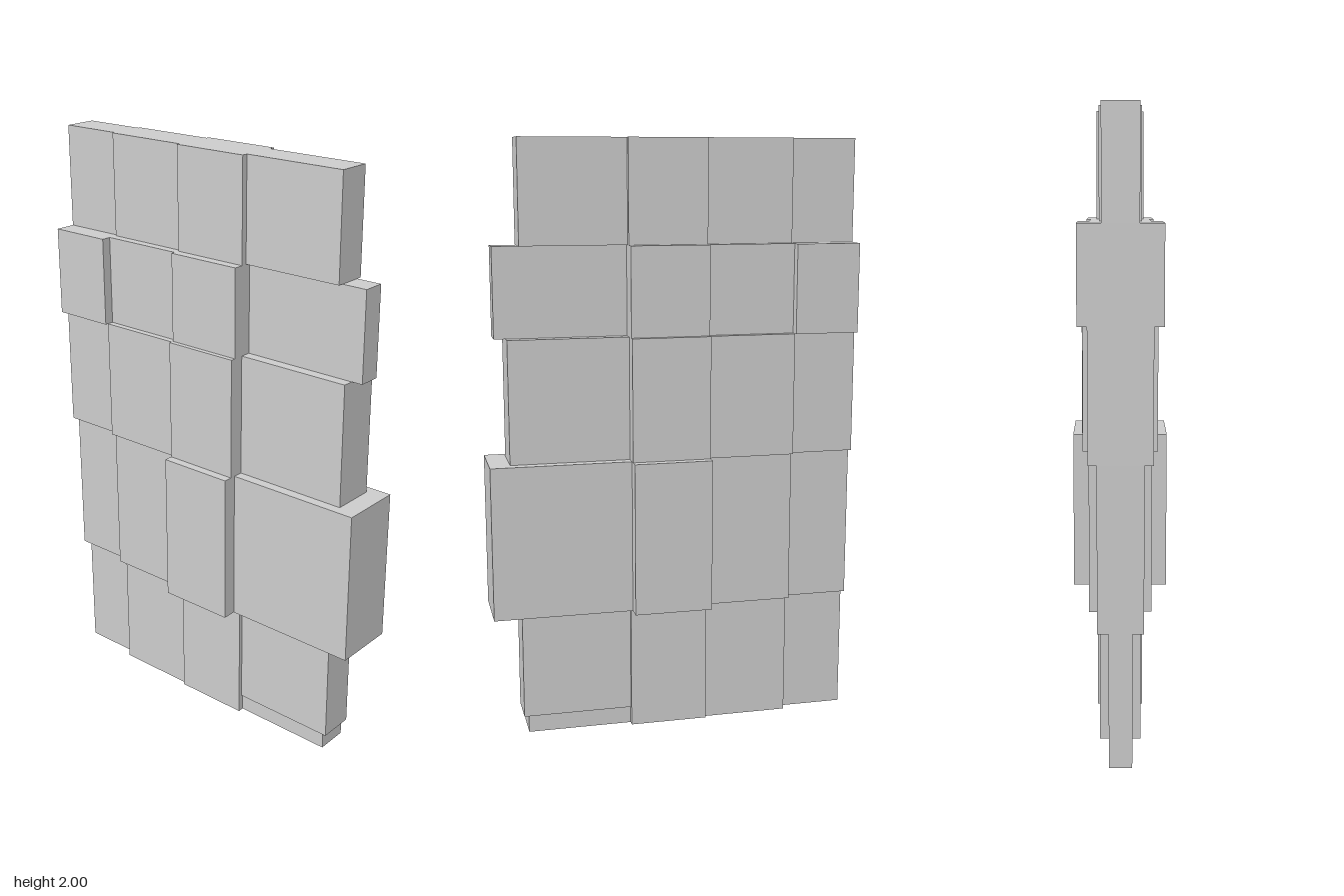
import * as THREE from 'three';

// Shared z boundaries between the four columns of blocks (front to back)
const SPLITS = [0.152, -0.113, -0.405, -0.622];

// Each course: bottom, top, front z, and half thickness of its blocks front to back
const COURSES = [
  { name: 'bottomCourse', y0: 0, y1: 0.428, front: 0.524, half: [0.062, 0.076, 0.065, 0.036] },
  { name: 'lowerCourse', y0: 0.428, y1: 0.948, front: 0.622, half: [0.108, 0.156, 0.099, 0.071] },
  { name: 'middleCourse', y0: 0.948, y1: 1.36, front: 0.553, half: [0.074, 0.126, 0.117, 0.098] },
  { name: 'upperCourse', y0: 1.36, y1: 1.658, front: 0.592, half: [0.038, 0.109, 0.095, 0.128] },
  { name: 'topCourse', y0: 1.658, y1: 2, front: 0.506, half: [0.056, 0.076, 0.065, 0.056] },
];

export function createModel() {
  const model = new THREE.Group();
  model.name = 'steppedBlockWall';
  const material = new THREE.MeshStandardMaterial({ color: 0xcccccc, flatShading: true });

  function addBlock(parent, name, half, y0, y1, zFront, zBack) {
    const block = new THREE.Mesh(new THREE.BoxGeometry(half * 2, y1 - y0, zFront - zBack), material);
    block.position.set(0, (y0 + y1) / 2, (zFront + zBack) / 2);
    block.name = name;
    parent.add(block);
  }

  COURSES.forEach((course, row) => {
    const group = new THREE.Group();
    group.name = course.name;
    course.half.forEach((half, column) => {
      const zFront = column === 0 ? course.front : SPLITS[column - 1];
      // The lowest front block rests on a slightly smaller foot
      const onFoot = row === 0 && column === 0;
      addBlock(group, `block${column + 1}`, half, onFoot ? 0.06 : course.y0, course.y1, zFront, SPLITS[column]);
      if (onFoot) addBlock(group, 'frontFoot', 0.055, 0, 0.06, 0.508, SPLITS[0]);
    });
    model.add(group);
  });

  return model;
}
